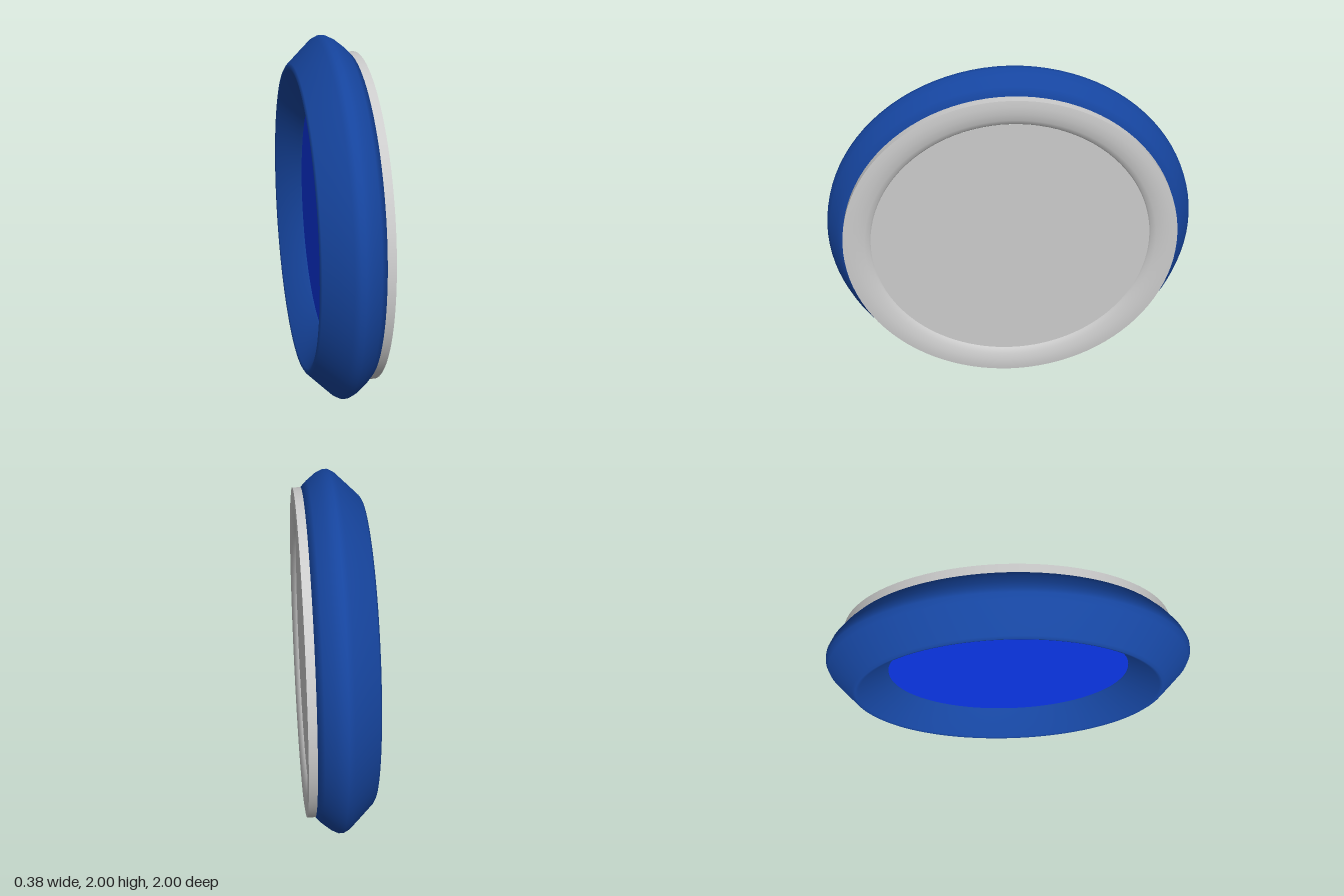
import * as THREE from 'three';

const SEGMENTS = 96;

// Profile points are [radius, x]; the result turns around the x axis.
function ring(name, profile, color) {
  const points = profile.map(([r, x]) => new THREE.Vector2(r, x));
  const geometry = new THREE.LatheGeometry(points, SEGMENTS).rotateZ(-Math.PI / 2);
  const mesh = new THREE.Mesh(geometry, new THREE.MeshStandardMaterial({ color }));
  mesh.name = name;
  return mesh;
}

// Flat disc facing +x (side = 1) or -x (side = -1).
function disc(name, radius, x, side, color) {
  const geometry = new THREE.CircleGeometry(radius, SEGMENTS).rotateY(side * Math.PI / 2);
  const mesh = new THREE.Mesh(geometry, new THREE.MeshStandardMaterial({ color }));
  mesh.name = name;
  mesh.position.x = x;
  return mesh;
}

export function createModel() {
  const model = new THREE.Group();
  model.name = 'roundPlate';

  const body = new THREE.Group();
  body.name = 'body';
  body.position.y = 1;
  body.rotation.set(0, -0.005, -0.005); // slight lean
  model.add(body);

  // Thick blue rim with a ridge at the back and a wide outer edge
  body.add(ring('blueRim', [
    [0.655, -0.03], [0.665, -0.055], [0.75, -0.125], [0.82, -0.18], [0.838, -0.185],
    [0.855, -0.175], [0.92, -0.108], [0.983, -0.042], [0.998, -0.012], [0.998, 0.012],
    [0.98, 0.05], [0.94, 0.1], [0.9, 0.138], [0.75, 0.138],
  ], 0x16459f));

  // Bright floor of the back hollow
  body.add(disc('backFloor', 0.665, -0.045, -1, 0x0a36e6));

  // Grey ring: straight outer wall, then a rounded face dipping to the disc
  body.add(ring('ringWall', [[0.905, 0.13], [0.905, 0.178]], 0xcccccc));
  body.add(ring('ringFace', [
    [0.905, 0.178], [0.87, 0.182], [0.83, 0.18], [0.79, 0.172], [0.765, 0.16], [0.755, 0.148],
  ], 0xcccccc));

  // Flat grey face
  body.add(disc('faceDisc', 0.757, 0.152, 1, 0xcccccc));

  return model;
}
